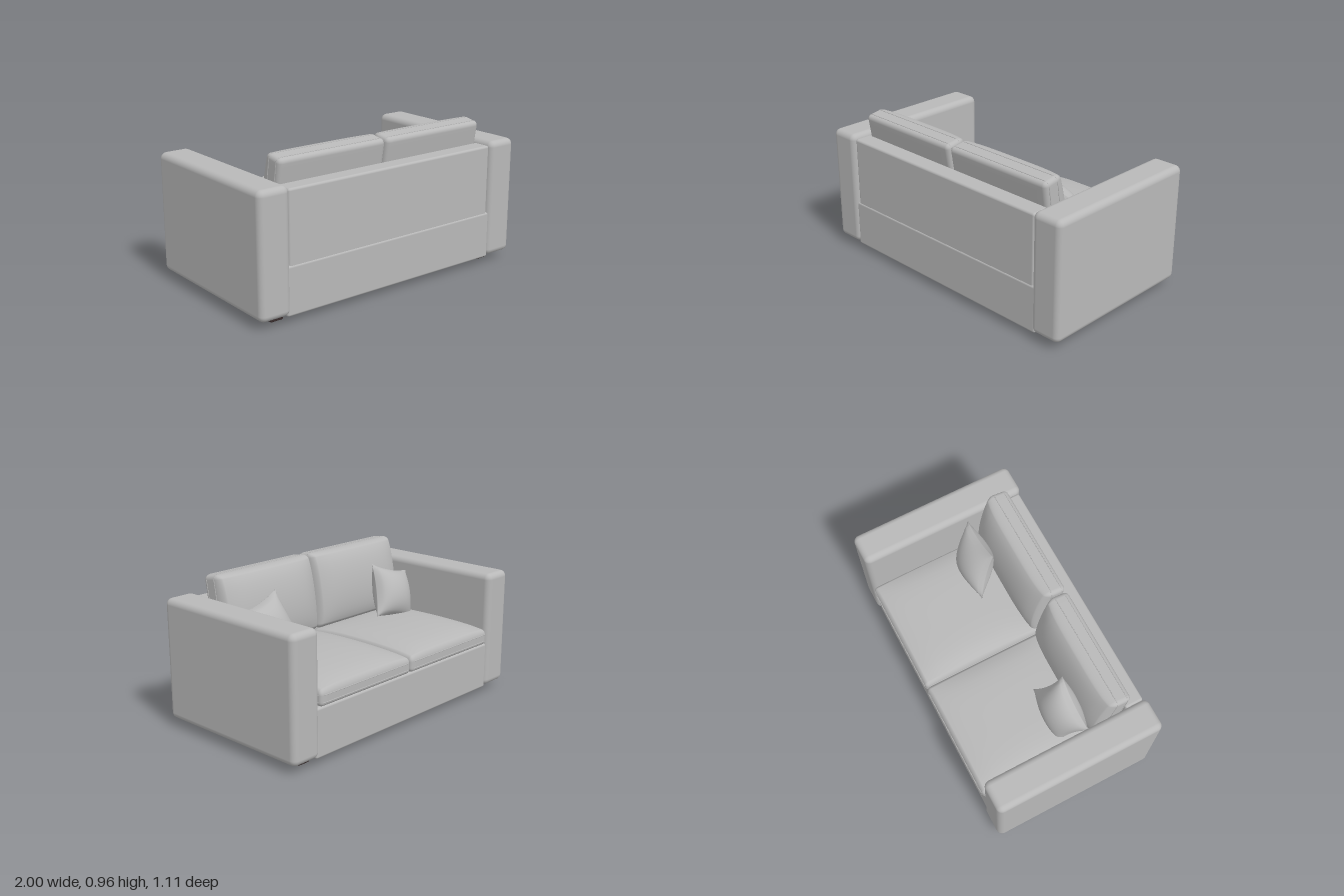
import * as THREE from 'three';
import { mergeVertices } from 'three/addons/utils/BufferGeometryUtils.js';
import { RoundedBoxGeometry } from 'three/addons/geometries/RoundedBoxGeometry.js';

// Box with rounded edges, a fine grid on each face and a domed top (+y)
function cushionGeometry(w, h, d, r, crown) {
  const N = 24, K = 4; // K of the N grid steps go into each rounded edge
  const geo = new THREE.BoxGeometry(2, 2, 2, N, N, N);
  geo.deleteAttribute('uv');
  geo.deleteAttribute('normal');
  const pos = geo.attributes.position;
  const remap = (t, half) => {
    const i = Math.round((Math.abs(t) * N) / 2), mid = N / 2 - K;
    const m = i <= mid ? (i / mid) * (half - r) : half - r + ((i - mid) / K) * r;
    return Math.sign(t) * m;
  };
  const half = new THREE.Vector3(w / 2, h / 2, d / 2);
  const p = new THREE.Vector3(), core = new THREE.Vector3(), n = new THREE.Vector3();
  const inner = half.clone().subScalar(r);
  for (let i = 0; i < pos.count; i++) {
    p.set(remap(pos.getX(i), half.x), remap(pos.getY(i), half.y), remap(pos.getZ(i), half.z));
    core.copy(p).clamp(inner.clone().negate(), inner);
    n.copy(p).sub(core).normalize();
    p.copy(core).addScaledVector(n, r);
    const u = p.x / half.x, v = p.z / half.z;
    const dome = Math.sqrt(Math.max(0, 1 - u ** 4) * Math.max(0, 1 - v * v));
    p.y += crown * dome * Math.max(0, n.y);
    pos.setXYZ(i, p.x, p.y, p.z);
  }
  const merged = mergeVertices(geo, 1e-5);
  merged.computeVertexNormals();
  return merged;
}

// Thin cord running around a cushion at height y
function pipingGeometry(w, d, r, y) {
  const pts = [];
  for (let c = 0; c < 4; c++) {
    const sx = c === 0 || c === 3 ? 1 : -1, sz = c < 2 ? 1 : -1;
    for (let k = 0; k <= 4; k++) {
      const a = ((c + k / 4) * Math.PI) / 2;
      pts.push(new THREE.Vector3(sx * (w / 2 - r) + r * Math.cos(a), y, sz * (d / 2 - r) + r * Math.sin(a)));
    }
  }
  const path = new THREE.CurvePath();
  pts.forEach((p, i) => path.add(new THREE.LineCurve3(p, pts[(i + 1) % pts.length])));
  return new THREE.TubeGeometry(path, 100, 0.003, 6, true);
}

// Square throw pillow with pinched edges and pointed corners
function pillowGeometry(size, bulge) {
  const geo = new THREE.BoxGeometry(2, 2, 2, 20, 20, 1);
  geo.deleteAttribute('uv');
  geo.deleteAttribute('normal');
  const pos = geo.attributes.position;
  for (let i = 0; i < pos.count; i++) {
    const u = pos.getX(i), v = pos.getY(i);
    const x = (size / 2) * u * (1 - 0.11 * u * u * (1 - v * v));
    const y = (size / 2) * v * (1 - 0.11 * v * v * (1 - u * u));
    const z = Math.sign(pos.getZ(i)) * (bulge * Math.pow((1 - u * u) * (1 - v * v), 0.6) + 0.002);
    pos.setXYZ(i, x, y, z);
  }
  const merged = mergeVertices(geo, 1e-5);
  merged.computeVertexNormals();
  return merged;
}

export function createModel() {
  const model = new THREE.Group();
  model.name = 'sofa';
  const fabric = new THREE.MeshStandardMaterial({ color: 0xb8b8b8 });
  fabric.name = 'grey fabric';
  const wood = new THREE.MeshStandardMaterial({ color: 0x382c2c });
  wood.name = 'dark wood';

  const add = (parent, name, geo, mat, x = 0, y = 0, z = 0) => {
    const mesh = new THREE.Mesh(geo, mat);
    mesh.name = name;
    mesh.position.set(x, y, z);
    parent.add(mesh);
    return mesh;
  };
  const block = (name, w, h, d, r, x, y, z, mat = fabric) =>
    add(model, name, new RoundedBoxGeometry(w, h, d, 4, r), mat, x, y, z);

  // Frame
  block('base', 1.62, 0.31, 1.08, 0.015, 0, 0.195, 0);
  block('backPanel', 1.58, 0.48, 0.12, 0.015, 0, 0.56, 0.475);

  const cushion = (name, w, h, d, r, crown) => {
    const group = new THREE.Group();
    group.name = name;
    add(group, name + 'Body', cushionGeometry(w, h, d, r, crown), fabric);
    for (const s of [1, -1]) {
      add(group, name + 'Piping', pipingGeometry(w, d, r, s * (h / 2 - r)), fabric);
    }
    model.add(group);
    return group;
  };

  for (const s of [1, -1]) {
    const side = s > 0 ? 'left' : 'right';
    block(side + 'Arm', 0.21, 0.775, 1.11, 0.04, s * 0.895, 0.4375, 0);

    // Feet
    for (const z of [0.418, -0.418]) {
      block(side + 'Foot', 0.085, 0.055, 0.086, 0.004, s * 0.833, 0.0275, z, wood);
    }

    // Seat and back cushions
    cushion(side + 'SeatCushion', 0.782, 0.095, 0.855, 0.025, 0.06).position.set(s * 0.394, 0.4, -0.1275);
    const back = cushion(side + 'BackCushion', 0.78, 0.13, 0.5, 0.03, 0.08);
    back.position.set(s * 0.395, 0.708, 0.34);
    back.rotation.x = -Math.PI / 2 + 0.16;

    // Throw pillow leaning into the corner
    const pillow = add(model, side + 'Pillow', pillowGeometry(0.36, 0.1), fabric, s * 0.5725, 0.63, 0.0975);
    const across = new THREE.Vector3(0.345, -0.1 * s, -0.005 * s).normalize();
    const up = new THREE.Vector3(0.08 * s, 0.31, 0.13);
    const out = new THREE.Vector3().crossVectors(across, up).normalize();
    up.crossVectors(out, across);
    pillow.quaternion.setFromRotationMatrix(new THREE.Matrix4().makeBasis(across, up, out));
  }
  return model;
}
